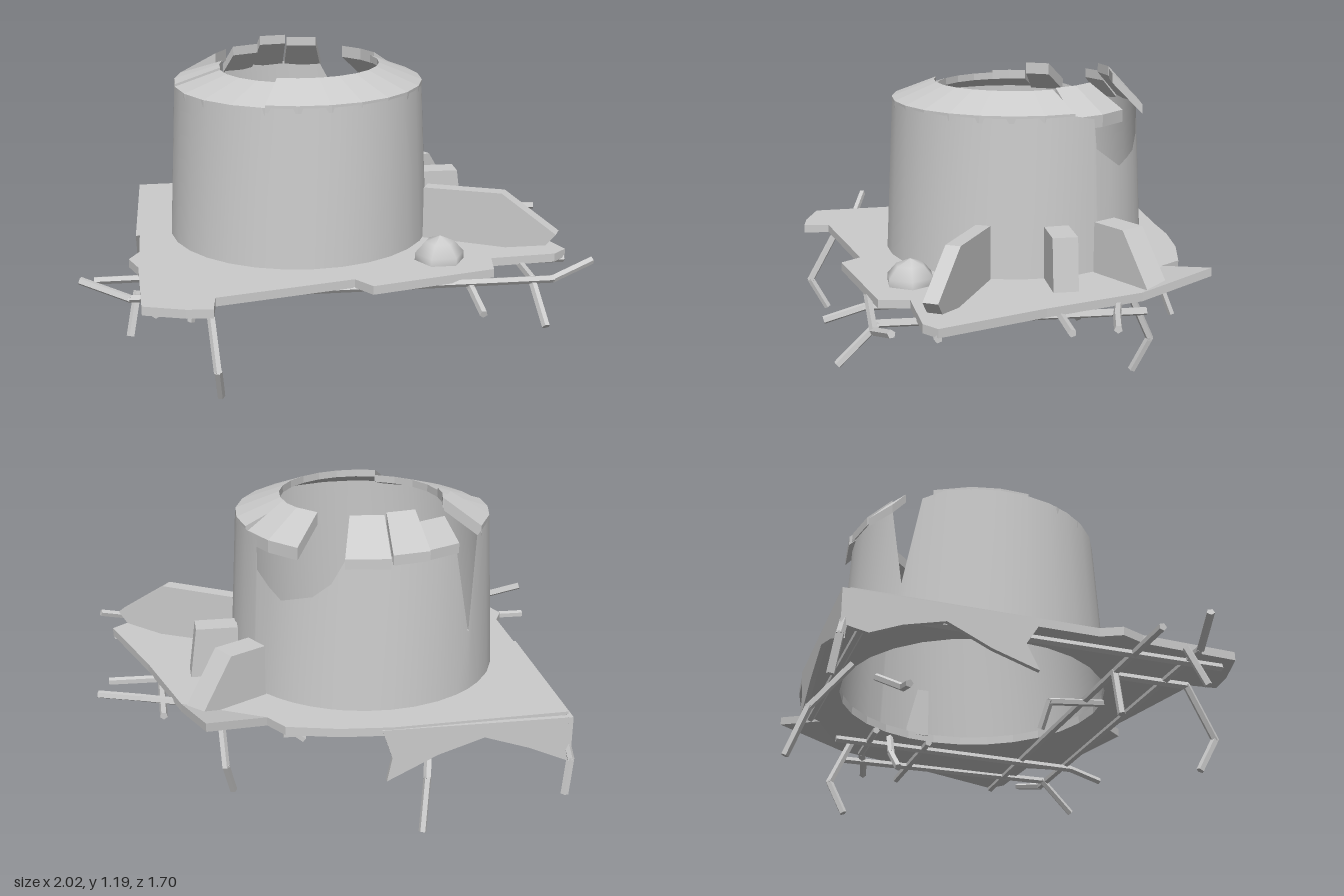
import * as THREE from 'three';

const flat = new THREE.MeshStandardMaterial({ color: 0xcccccc, flatShading: true, side: THREE.DoubleSide });
const smooth = new THREE.MeshStandardMaterial({ color: 0xcccccc, side: THREE.DoubleSide });
const CX = -0.105, CZ = -0.07; // axis of the broken tower

function add(group, name, geometry, material = flat) {
  const mesh = new THREE.Mesh(geometry, material);
  mesh.name = name;
  group.add(mesh);
  return mesh;
}

// point around the tower axis; 0 degrees is the front, 90 is +x
function polar(deg, r, y) {
  const a = THREE.MathUtils.degToRad(deg);
  return [CX + r * Math.sin(a), y, CZ + r * Math.cos(a)];
}

function makeGeometry(positions, index) {
  const g = new THREE.BufferGeometry();
  g.setAttribute('position', new THREE.Float32BufferAttribute(positions, 3));
  if (index) g.setIndex(index);
  g.computeVertexNormals();
  return g;
}

// tapered thin wall whose top edge follows a jagged line of [angle, height]
function wallGeometry() {
  const edge = [];
  for (let a = 0; a < 120; a += 12) edge.push([a, 1.07]);
  edge.push([118, 1.05], [119, 0.93], [127, 0.88], [134, 0.84], [141, 0.86], [149, 0.88], [157, 0.94], [163, 1.04]);
  edge.push([172, 1.05], [182, 1.05], [192, 1.05], [203, 1.05], [213, 1.05], [221, 0.67], [229, 1.05]);
  for (let a = 240; a < 360; a += 12) edge.push([a, 1.07]);
  const pos = [], idx = [], n = edge.length;
  edge.forEach(([a, y], i) => {
    pos.push(...polar(a, 0.555, 0.42), ...polar(a, 0.555 - 0.054 * (y - 0.43), y));
    const p = 2 * i, q = 2 * ((i + 1) % n);
    idx.push(p, q, q + 1, p, q + 1, p + 1);
  });
  return makeGeometry(pos, idx);
}

// sloping block of the rim, swept around the axis
function rimGeometry(a0, a1, rIn, rOut, yIn, yOut, thick) {
  const steps = Math.max(1, Math.round((a1 - a0) / 15)), rings = [], pos = [];
  for (let i = 0; i <= steps; i++) {
    const a = a0 + (a1 - a0) * i / steps;
    rings.push([polar(a, rOut, yOut), polar(a, rIn, yIn), polar(a, rIn, yIn - thick), polar(a, rOut, yOut - thick)]);
  }
  const quad = (a, b, c, d) => pos.push(...a, ...b, ...c, ...a, ...c, ...d);
  for (let i = 0; i < steps; i++) {
    for (let k = 0; k < 4; k++) {
      const m = (k + 1) % 4;
      quad(rings[i][k], rings[i + 1][k], rings[i + 1][m], rings[i][m]);
    }
  }
  quad(...rings[0]);
  quad(...rings[steps].slice().reverse());
  return makeGeometry(pos);
}

// slab with a round opening and one corner bent upwards
function slabGeometry() {
  const outline = [[-0.8, -0.75], [-0.1, -0.77], [0.1, -0.75], [0.3, -0.7], [0.36, -0.61], [0.6, -0.74], [0.68, -0.44],
    [0.8, -0.04], [0.95, 0.38], [0.89, 0.43], [0.62, 0.45], [0.6, 0.57], [0.1, 0.69], [0.04, 0.61], [-0.5, 0.73],
    [-0.51, 0.84], [-0.61, 0.83], [-0.77, 0.78], [-0.79, 0.38], [-0.83, 0.28], [-0.79, 0.2]];
  const shape = new THREE.Shape(outline.map(([x, z]) => new THREE.Vector2(x, -z)));
  const hole = new THREE.Path();
  hole.absarc(CX, -CZ, 0.545, 0, Math.PI * 2, true);
  shape.holes.push(hole);
  const g = new THREE.ExtrudeGeometry(shape, { depth: 0.035, bevelEnabled: false, curveSegments: 14 });
  g.rotateX(-Math.PI / 2).translate(0, 0.395, 0);
  const p = g.attributes.position;
  for (let i = 0; i < p.count; i++) {
    if (p.getX(i) > 0.55 && p.getZ(i) < -0.7) p.setY(i, p.getY(i) + 0.06);
  }
  g.computeVertexNormals();
  return g;
}

// upright plate: outline of [distance, height], starting at (x, z), heading towards (dx, dz)
function plateGeometry(points, thick, x, z, dx, dz) {
  const shape = new THREE.Shape(points.map(p => new THREE.Vector2(...p)));
  const g = new THREE.ExtrudeGeometry(shape, { depth: thick, bevelEnabled: false });
  return g.translate(0, 0, -thick / 2).rotateY(-Math.atan2(dz, dx)).translate(x, 0, z);
}

// bent bar made of straight square rods
function bar(group, points) {
  const up = new THREE.Vector3(0, 1, 0);
  const v = points.map(p => new THREE.Vector3(...p));
  for (let i = 1; i < v.length; i++) {
    const d = v[i].clone().sub(v[i - 1]);
    const rod = add(group, 'reinforcingBar', new THREE.CylinderGeometry(0.016, 0.016, d.length() + 0.01, 5));
    rod.position.copy(v[i]).add(v[i - 1]).multiplyScalar(0.5);
    rod.quaternion.setFromUnitVectors(up, d.normalize());
  }
}

export function createModel() {
  const model = new THREE.Group();
  model.name = 'brokenTowerOnSlab';

  add(model, 'slab', slabGeometry());
  add(model, 'towerWall', wallGeometry(), smooth);

  // rim: start and end angle, inner and outer radius, inner and outer height, thickness
  const rim = new THREE.Group();
  rim.name = 'rim';
  model.add(rim);
  [
    [234, 251, 0.36, 0.52, 1.17, 1.08, 0.05],
    [251, 277, 0.33, 0.52, 1.14, 1.08, 0.04],
    [277, 340, 0.33, 0.52, 1.13, 1.07, 0.03],
    [340, 468, 0.34, 0.52, 1.15, 1.08, 0.03],
    [468, 501, 0.36, 0.51, 1.16, 1.06, 0.05],
    [163, 181, 0.42, 0.55, 1.18, 1.05, 0.04],
    [182, 198, 0.42, 0.54, 1.19, 1.06, 0.04],
    [198, 214, 0.45, 0.53, 1.15, 1.06, 0.04]
  ].forEach(p => add(rim, 'rimBlock', rimGeometry(...p)));

  // plates leaning around the tower
  add(model, 'longFin', plateGeometry([[0, 0.42], [0, 0.65], [0.33, 0.66], [0.56, 0.51], [0.52, 0.46], [0.3, 0.42]], 0.06, 0.41, 0.14, 0.49, 0.26));
  add(model, 'shortFin', plateGeometry([[0, 0.42], [0, 0.64], [0.17, 0.64], [0.2, 0.42]], 0.1, 0.43, -0.15, 1, 0));
  add(model, 'backFin', plateGeometry([[0, 0.42], [0, 0.64], [0.16, 0.64], [0.31, 0.42]], 0.11, 0.37, -0.36, 0.26, -0.15));

  // small six-sided dome
  const dome = [[0.1, 0.42], [0.1, 0.46], [0.06, 0.505], [0, 0.53]].map(p => new THREE.Vector2(...p));
  add(model, 'dome', new THREE.LatheGeometry(dome, 6, Math.PI / 6).translate(0.41, 0, 0.43), smooth);

  // torn crust hanging from the back and right edges
  add(model, 'backCrust', plateGeometry([[0, 0.42], [0, 0.23], [0.16, 0.3], [0.34, 0.36], [0.52, 0.3], [0.72, 0.2], [0.7, 0.3], [0.74, 0.42]], 0.02, -0.8, -0.77, 1, 0.01));
  add(model, 'sideCrust', plateGeometry([[0, 0.42], [0, 0.28], [0.1, 0.26], [0.22, 0.31], [0.38, 0.35], [0.55, 0.27], [0.73, 0.21], [0.68, 0.31], [0.75, 0.42]], 0.02, -0.8, -0.78, 0, 1));

  // grid of bars under the slab, with bent ends
  const bars = new THREE.Group();
  bars.name = 'reinforcingBars';
  model.add(bars);
  [
    [[-1, 0.45, 0.55], [-0.82, 0.39, 0.6], [0.83, 0.39, 0.6], [1, 0.44, 0.55]],
    [[-0.96, 0.38, 0.37], [0.94, 0.39, 0.38]],
    [[0.42, 0.38, -0.1], [0.96, 0.39, -0.1]],
    [[0.35, 0.38, -0.36], [0.66, 0.39, -0.35], [0.83, 0.4, -0.3], [1, 0.41, -0.26]],
    [[-0.76, 0.38, -0.66], [0.3, 0.38, -0.66]],
    [[0.75, 0.38, -0.43], [0.75, 0.39, 0.58], [0.77, 0.25, 0.73]],
    [[0.5, 0.38, -0.5], [0.5, 0.37, 0.62], [0.51, 0.33, 0.77]],
    [[-0.72, 0.38, -0.72], [-0.72, 0.38, 0.74]],
    [[-0.52, 0.38, 0.4], [-0.52, 0.38, 0.7], [-0.5, 0.17, 0.82], [-0.49, 0.04, 0.75]],
    [[0.53, 0.4, -0.42], [0.52, 0.18, -0.52], [0.49, 0.04, -0.46]],
    [[-0.28, 0.38, -0.62], [-0.24, 0.2, -0.77], [-0.21, 0.01, -0.84]],
    [[-0.55, 0.38, 0.37], [-0.59, 0.19, 0.37]],
    [[-0.77, 0.41, -0.74], [-0.81, 0.24, -0.78], [-0.79, 0.1, -0.8]],
    [[-0.79, 0.4, 0.56], [-0.82, 0.25, 0.62]],
    [[0.42, 0.38, -0.28], [0.31, 0.27, -0.3], [0.18, 0.16, -0.3]],
    [[-0.25, 0.38, 0.45], [-0.24, 0.36, 0.22], [-0.19, 0.26, 0.2]],
    [[-0.2, 0.38, -0.5], [-0.27, 0.32, -0.41], [-0.4, 0.28, -0.42]]
  ].forEach(p => bar(bars, p));

  return model;
}
